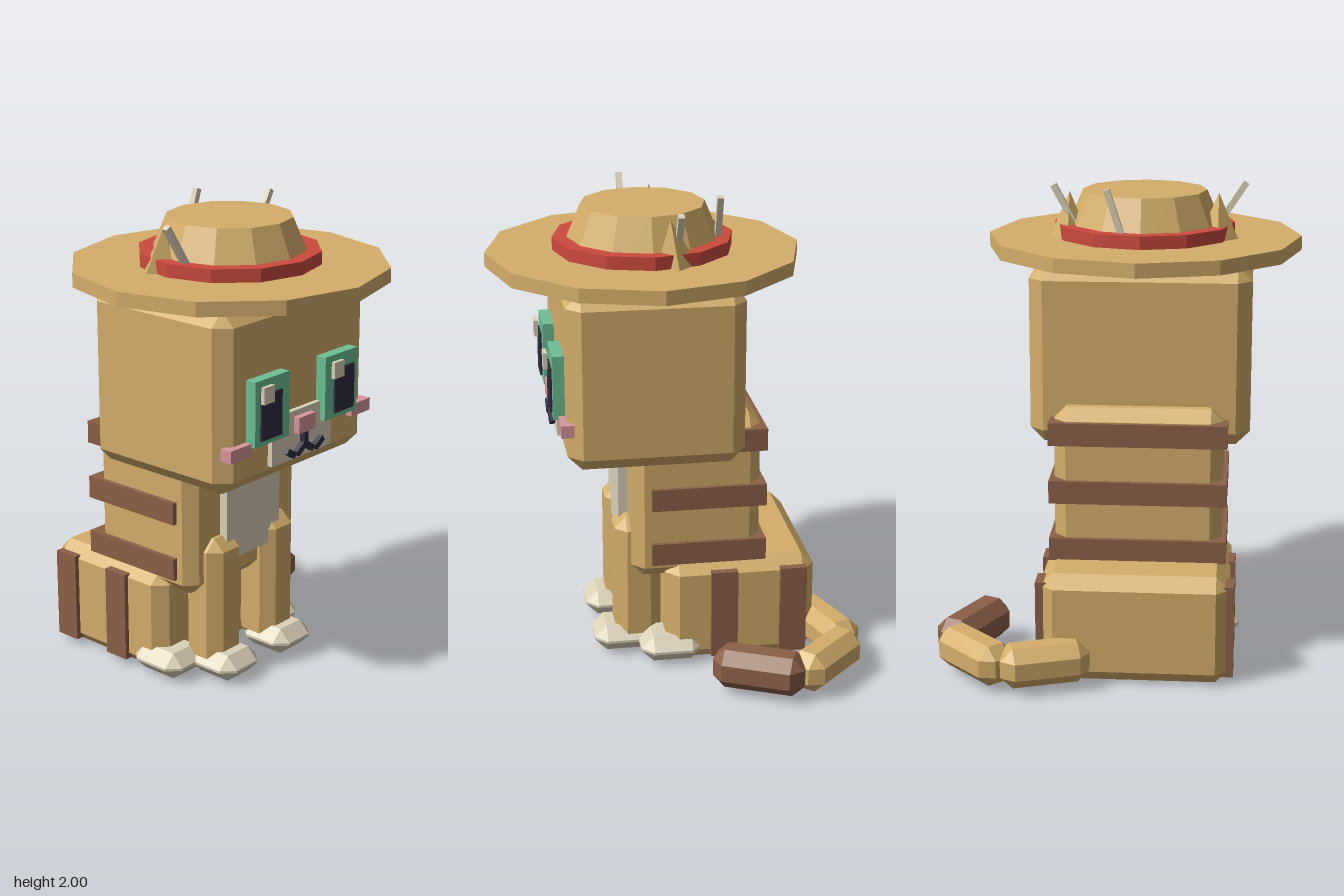
import * as THREE from 'three';
import { ConvexGeometry } from 'three/addons/geometries/ConvexGeometry.js';

const mat = (name, color) => {
  const m = new THREE.MeshStandardMaterial({ color });
  m.name = name;
  return m;
};
const tan = mat('tan', 0xd4ae6a), brown = mat('brown', 0x8c6047), cream = mat('cream', 0xdcd2b9);
const pink = mat('pink', 0xd9969a), green = mat('green', 0x6cc095), dark = mat('dark', 0x2f2d40);
const red = mat('red', 0xcc4a3e);

// Box with every edge cut at 45 degrees
function chamferBox(w, h, d, c) {
  const pts = [];
  for (const sx of [-1, 1]) for (const sy of [-1, 1]) for (const sz of [-1, 1]) {
    const x = w / 2, y = h / 2, z = d / 2;
    pts.push(new THREE.Vector3(sx * x, sy * (y - c), sz * (z - c)),
      new THREE.Vector3(sx * (x - c), sy * y, sz * (z - c)),
      new THREE.Vector3(sx * (x - c), sy * (y - c), sz * z));
  }
  return new ConvexGeometry(pts);
}

export function createModel() {
  const root = new THREE.Group();
  root.name = 'cat';
  // The cat sits off centre so the curled tail fits in the frame
  const cat = new THREE.Group();
  cat.name = 'catBody';
  cat.position.x = -0.095;
  root.add(cat);

  const add = (name, geo, material, parent = cat) => {
    const m = new THREE.Mesh(geo, material);
    m.name = name;
    parent.add(m);
    return m;
  };
  // Block given by its low and high bounds on each axis; c is the chamfer
  const block = (name, material, [x0, x1], [y0, y1], [z0, z1], c = 0) => {
    const w = x1 - x0, h = y1 - y0, d = z1 - z0;
    const m = add(name, c ? chamferBox(w, h, d, c) : new THREE.BoxGeometry(w, h, d), material);
    m.position.set((x0 + x1) / 2, (y0 + y1) / 2, (z0 + z1) / 2);
    return m;
  };

  // Head, torso and haunches
  block('head', tan, [-0.46, 0.46], [0.935, 1.69], [-0.265, 0.475], 0.06);
  block('torso', tan, [-0.35, 0.35], [0.39, 1.11], [-0.35, 0.2], 0.05);
  block('haunches', tan, [-0.39, 0.39], [0, 0.465], [-0.587, 0.06], 0.055);
  block('bib', cream, [-0.17, 0.17], [0.52, 1.0], [0.18, 0.24]);

  // Bands around the back of the torso
  for (const y of [0.46, 0.71, 0.96])
    block('torsoStripe', brown, [-0.37, 0.37], [y, y + 0.097], [-0.37, 0.12]);
  // Upright stripes over the haunches
  for (const z of [-0.545, -0.245])
    block('haunchStripe', brown, [-0.41, 0.41], [0.03, 0.425], [z, z + 0.115]);
  // Stripes on top of the head
  for (const x of [-0.2, 0, 0.2])
    block('headStripe', brown, [x - 0.04, x + 0.04], [1.66, 1.715], [-0.19, 0.32]);

  for (const s of [-1, 1]) {
    const span = (cx, w) => [s * cx - w / 2, s * cx + w / 2];
    // Legs and paws
    block('frontLeg', tan, span(0.172, 0.2), [0.04, 0.63], [0.065, 0.265], 0.05);
    block('frontPaw', cream, span(0.175, 0.235), [0.01, 0.125], [0.1, 0.357], 0.052);
    block('hindPaw', cream, span(0.31, 0.235), [0.01, 0.125], [-0.1, 0.17], 0.052);

    // Eyes
    block('eye', green, span(0.22, 0.21), [1.132, 1.405], [0.46, 0.523]);
    const px = s < 0 ? -0.233 : 0.233;
    block('pupil', dark, [px - 0.063, px + 0.063], [1.155, 1.345], [0.524, 0.533]);
    const hx = s < 0 ? -0.27 : 0.174;
    block('eyeGlint', cream, [hx - 0.032, hx + 0.032], [1.312, 1.382], [0.533, 0.55]);

    // Cheek marks
    block('cheek', pink, span(0.385, 0.125), [1.095, 1.148], [0.45, 0.503]);

    // Mouth: two short strokes on each side
    const stroke = (x0, y0, x1, y1) => {
      const len = Math.hypot(x1 - x0, y1 - y0);
      const m = add('mouthStroke', new THREE.BoxGeometry(len, 0.026, 0.03), dark);
      m.position.set((x0 + x1) / 2, (y0 + y1) / 2, 0.505);
      m.rotation.z = Math.atan2(y1 - y0, x1 - x0);
    };
    stroke(0, 1.068, s * 0.05, 1.033);
    stroke(s * 0.066, 1.03, s * 0.115, 1.062);

    // Ear poking up through the hat
    const ear = add('ear', new THREE.ConeGeometry(0.13, 0.3, 4).toNonIndexed(), tan);
    ear.geometry.computeVertexNormals();
    ear.position.set(s * 0.312, 1.805, 0.015);
    ear.rotation.x = 0.13;
  }

  // Muzzle
  block('muzzle', cream, [-0.19, 0.19], [1.01, 1.215], [0.46, 0.497]);
  block('nose', pink, [-0.053, 0.053], [1.12, 1.19], [0.48, 0.525]);
  block('mouthStem', dark, [-0.013, 0.013], [1.05, 1.12], [0.49, 0.52]);

  // Straw hat, twelve-sided
  const hat = (name, material, rTop, rBottom, y0, y1) => {
    const g = new THREE.CylinderGeometry(rTop, rBottom, y1 - y0, 12).toNonIndexed();
    g.computeVertexNormals();
    add(name, g, material).position.set(0, (y0 + y1) / 2, 0.105);
  };
  hat('hatBrim', tan, 0.662, 0.662, 1.705, 1.765);
  hat('hatBand', red, 0.38, 0.38, 1.76, 1.82);
  hat('hatCrown', tan, 0.262, 0.345, 1.76, 1.955);

  // Bar between two points, used for straws and tail
  const bar = (name, material, a, b, size, c = 0) => {
    const from = new THREE.Vector3(...a), to = new THREE.Vector3(...b);
    const len = from.distanceTo(to);
    const geo = c ? chamferBox(size, size, len, c) : new THREE.BoxGeometry(size, size, len);
    const m = add(name, geo, material, root);
    m.position.copy(from).lerp(to, 0.5);
    m.lookAt(to);
  };
  // Loose straws sticking out of the hat
  bar('straw', cream, [-0.36, 1.735, 0.15], [-0.52, 1.98, 0.15], 0.026);
  bar('straw', cream, [0.165, 1.77, 0], [0.282, 1.985, 0], 0.026);
  bar('straw', cream, [-0.03, 1.77, -0.2], [0.045, 1.998, -0.2], 0.026);

  // Tail curling round to the left side
  const y = 0.115;
  bar('tailBase', tan, [0.096, y, -0.577], [0.448, y, -0.7], 0.172, 0.05);
  bar('tailMiddle', tan, [0.43, y, -0.71], [0.695, y, -0.44], 0.172, 0.05);
  bar('tailTip', brown, [0.695, y, -0.462], [0.53, y, -0.108], 0.174, 0.05);

  return root;
}
